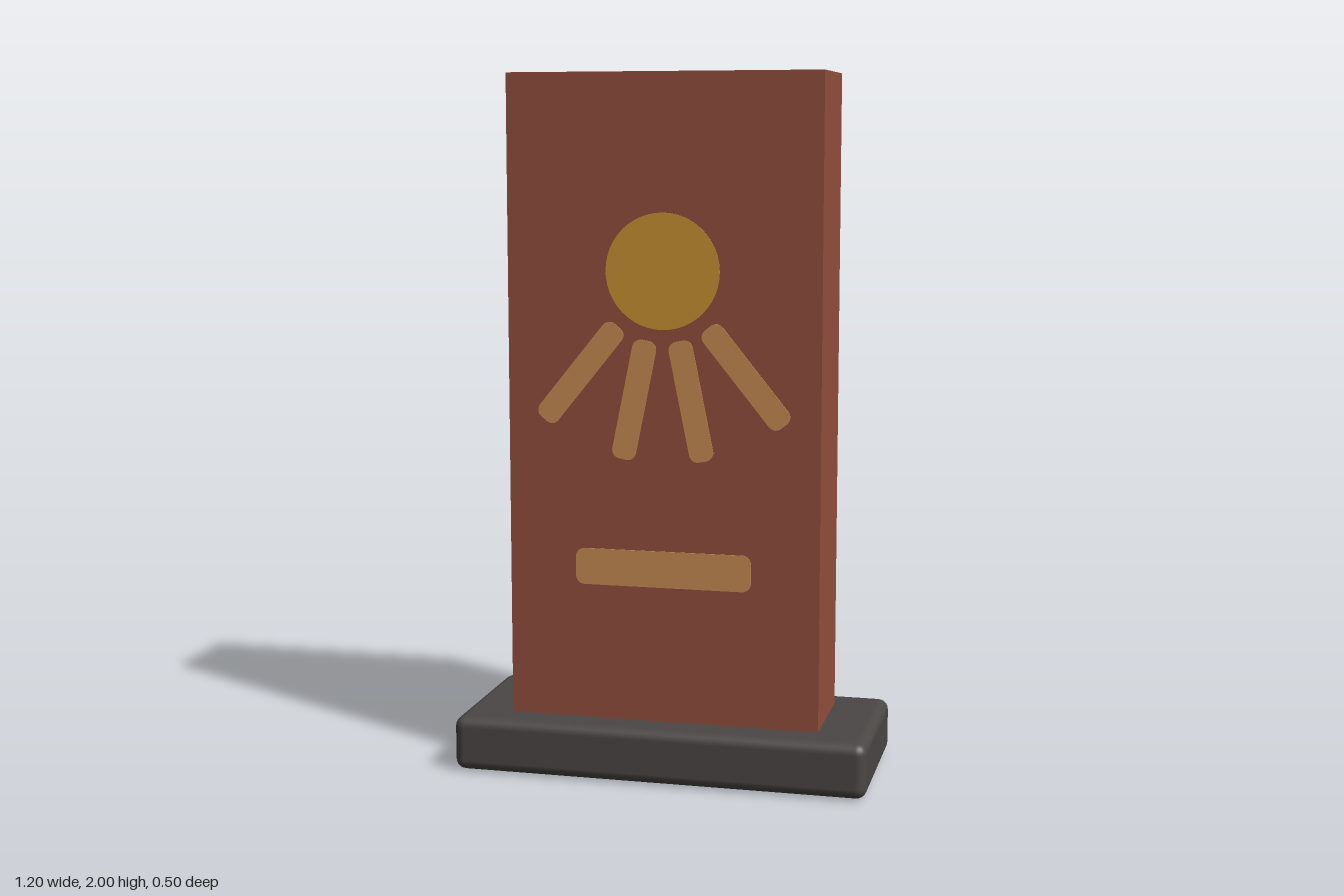
import * as THREE from 'three';
import { RoundedBoxGeometry } from 'three/addons/geometries/RoundedBoxGeometry.js';

const FRONT = 0.15; // z of the slab's front face

function material(name, color) {
  const m = new THREE.MeshStandardMaterial({ color });
  m.name = name;
  return m;
}

// Thin inlay plate with rounded corners, centred on the origin
function roundedPlate(w, h, r) {
  const x = w / 2, y = h / 2, s = new THREE.Shape();
  s.moveTo(-x + r, -y);
  s.lineTo(x - r, -y);
  s.absarc(x - r, -y + r, r, -Math.PI / 2, 0);
  s.absarc(x - r, y - r, r, 0, Math.PI / 2);
  s.absarc(-x + r, y - r, r, Math.PI / 2, Math.PI);
  s.absarc(-x + r, -y + r, r, Math.PI, Math.PI * 1.5);
  return new THREE.ExtrudeGeometry(s, { depth: 0.003, bevelEnabled: false, curveSegments: 5 });
}

export function createModel() {
  const group = new THREE.Group();
  const clay = material('clay red', 0x934f3d);
  const stone = material('dark stone', 0x4b4745);
  const gold = material('gold', 0xcb9333);
  const sand = material('sand', 0xc98e52);

  function add(name, geometry, mat, x, y, z, turn = 0) {
    const mesh = new THREE.Mesh(geometry, mat);
    mesh.name = name;
    mesh.position.set(x, y, z);
    mesh.rotation.z = turn;
    group.add(mesh);
  }

  // Slab runs through the base down to the ground
  add('slab', new THREE.BoxGeometry(0.9, 2, 0.3), clay, 0, 1, 0);
  add('base', new RoundedBoxGeometry(1.2, 0.158, 0.5, 3, 0.03), stone, 0, 0.083, 0);

  // Sun disc
  const disc = new THREE.CylinderGeometry(0.163, 0.163, 0.003, 48).rotateX(Math.PI / 2);
  add('sunDisc', disc, gold, 0, 1.452, FRONT + 0.0015);

  // Two mirrored pairs of rays fanning out below the disc
  const ray = roundedPlate(0.07, 0.345, 0.025);
  for (const side of [-1, 1]) {
    add('outerRay', ray, sand, side * 0.238, 1.163, FRONT, side * 0.68);
    add('innerRay', ray, sand, side * 0.082, 1.09, FRONT, side * 0.2);
  }

  // Bar beneath the rays
  add('bar', roundedPlate(0.51, 0.105, 0.025), sand, 0, 0.607, FRONT);

  return group;
}
